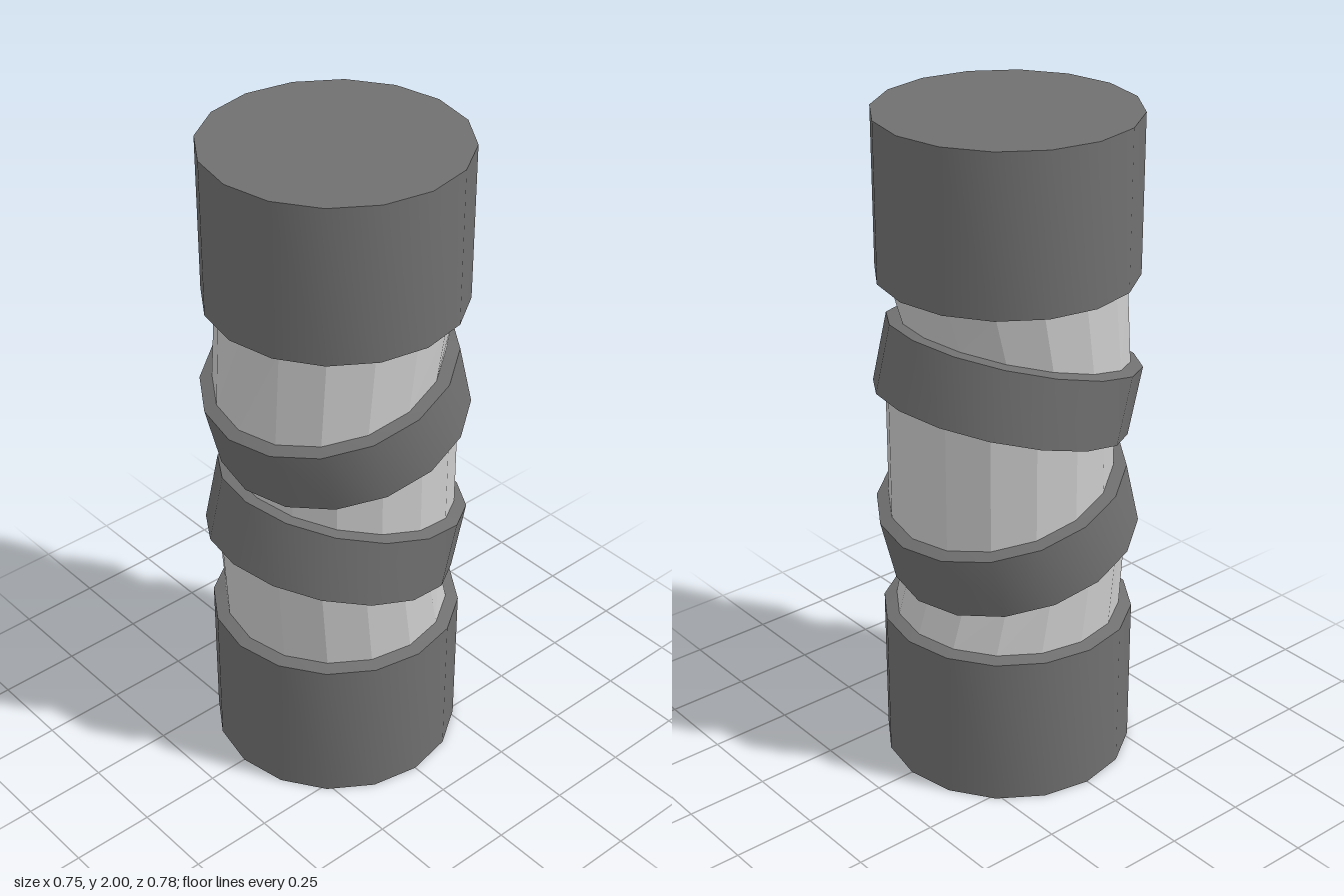
import * as THREE from 'three';
import { toCreasedNormals } from 'three/addons/utils/BufferGeometryUtils.js';

const SIDES = 16;
const R = 0.375;        // caps and bands
const R_IN = 0.337;     // sleeves
const TILT = THREE.MathUtils.degToRad(15);
const BAND_Y = 0.783, BAND_HALF = 0.102, BAND_RIM = 0.109;
const CAP_EDGE = 0.465, CAP_RIM = 0.475;

const dark = new THREE.MeshStandardMaterial({ color: 0x707070 });
const light = new THREE.MeshStandardMaterial({ color: 0xcccccc, flatShading: true });

// Sixteen-sided turned part with smooth sides and sharp rims
function turned(points) {
  const profile = points.map(([x, y]) => new THREE.Vector2(x, y));
  return toCreasedNormals(new THREE.LatheGeometry(profile, SIDES), 0.6);
}

// Ring of sleeve corners, at an offset along the axis of a frame tilted about x
function ring(y, tilt, offset) {
  return Array.from({ length: SIDES }, (_, i) => {
    const a = (i / SIDES) * Math.PI * 2;
    return new THREE.Vector3(Math.sin(a) * R_IN, offset, Math.cos(a) * R_IN)
      .applyAxisAngle(new THREE.Vector3(1, 0, 0), tilt)
      .add(new THREE.Vector3(0, y, 0));
  });
}

// Open sleeve spanning two rings
function sleeve(lower, upper) {
  const index = [];
  for (let i = 0; i < SIDES; i++) {
    const j = (i + 1) % SIDES;
    index.push(i, j, SIDES + j, i, SIDES + j, SIDES + i);
  }
  const geo = new THREE.BufferGeometry().setFromPoints([...lower, ...upper]);
  geo.setIndex(index);
  const flat = geo.toNonIndexed();
  flat.computeVertexNormals();
  return flat;
}

export function createModel() {
  const group = new THREE.Group();
  const add = (name, geo, mat, y = 0, rotX = 0) => {
    const mesh = new THREE.Mesh(geo, mat);
    mesh.name = name;
    mesh.position.y = y;
    mesh.rotation.x = rotX;
    group.add(mesh);
  };

  // End caps with a slightly conical inner rim
  const cap = turned([[0, 0], [R, 0], [R, CAP_EDGE], [R_IN, CAP_RIM]]);
  add('bottomCap', cap, dark);
  add('topCap', cap, dark, 2, Math.PI);

  // Two bands tilted in opposite directions
  const band = turned([[R_IN, -BAND_RIM], [R, -BAND_HALF], [R, BAND_HALF], [R_IN, BAND_RIM]]);
  add('lowerBand', band, dark, BAND_Y, -TILT);
  add('upperBand', band, dark, 2 - BAND_Y, TILT);

  // Sleeves joining caps and bands
  add('lowerSleeve', sleeve(ring(CAP_RIM, 0, 0), ring(BAND_Y, -TILT, -BAND_RIM)), light);
  add('middleSleeve', sleeve(ring(BAND_Y, -TILT, BAND_RIM), ring(2 - BAND_Y, TILT, -BAND_RIM)), light);
  add('upperSleeve', sleeve(ring(2 - BAND_Y, TILT, BAND_RIM), ring(2 - CAP_RIM, 0, 0)), light);

  return group;
}
